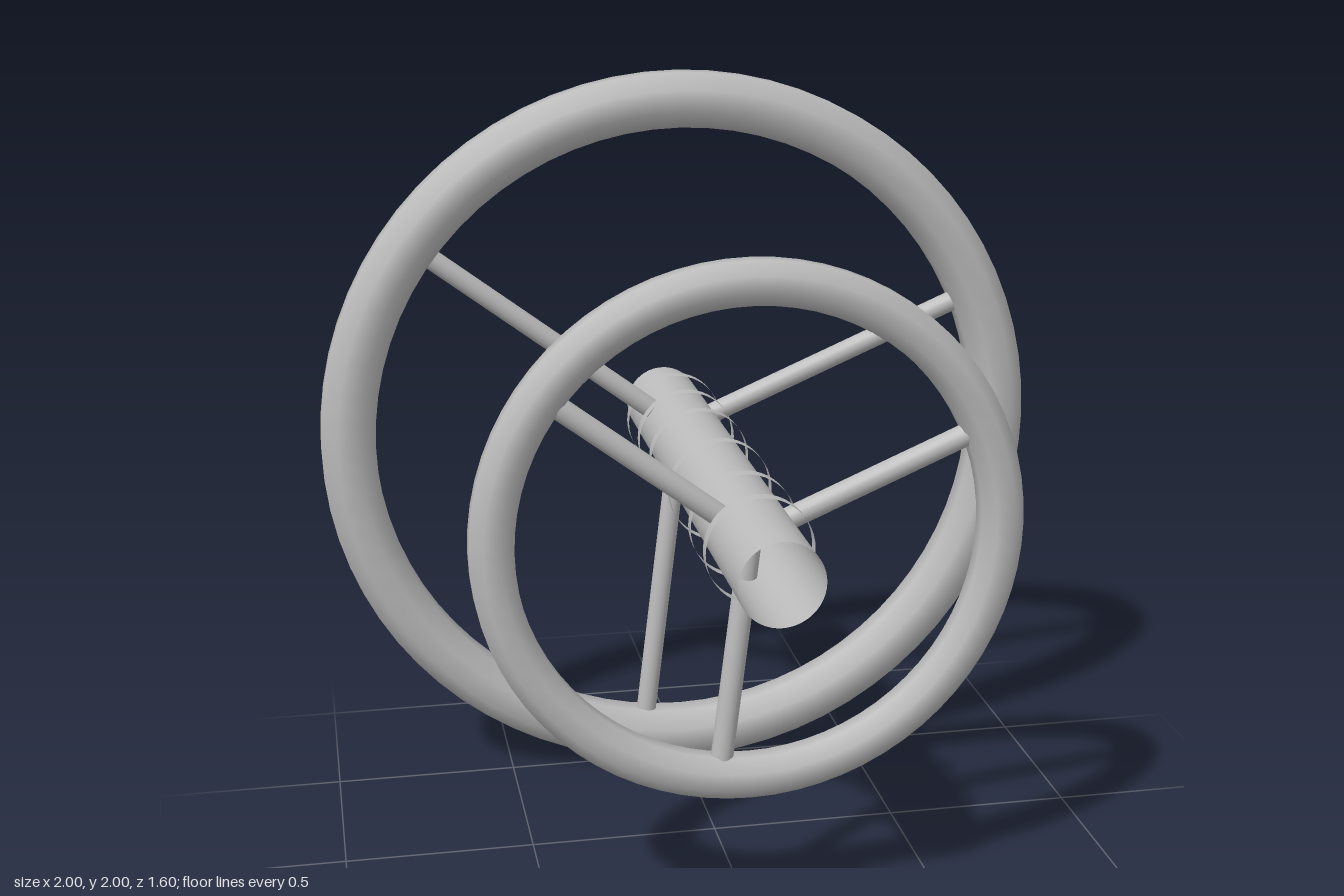
import * as THREE from 'three';

const metal = new THREE.MeshStandardMaterial({ color: 0xbbbbbb, side: THREE.DoubleSide });
metal.name = 'grey metal';

function part(name, geometry) {
  const mesh = new THREE.Mesh(geometry, metal);
  mesh.name = name;
  return mesh;
}

// Torus whose octagonal section is turned so that its flats face outward
function rimGeometry(radius, halfWidth) {
  const sides = 8, steps = 72;
  const r = halfWidth / Math.cos(Math.PI / sides);
  const g = new THREE.TorusGeometry(radius, r, sides, steps);
  const pos = g.attributes.position, nor = g.attributes.normal;
  for (let j = 0; j <= sides; j++) {
    const v = ((j + 0.5) / sides) * Math.PI * 2;
    for (let i = 0; i <= steps; i++) {
      const u = (i / steps) * Math.PI * 2, k = j * (steps + 1) + i;
      const c = Math.cos(v), d = radius + r * c;
      pos.setXYZ(k, d * Math.cos(u), d * Math.sin(u), r * Math.sin(v));
      nor.setXYZ(k, c * Math.cos(u), c * Math.sin(u), Math.sin(v));
    }
  }
  return g;
}

// Open band around the z axis
function bandGeometry(radius, length) {
  return new THREE.CylinderGeometry(radius, radius, length, 48, 1, true).rotateX(Math.PI / 2);
}

// Rim with three spokes meeting on the axis
function makeWheel(name, radius, halfWidth, z) {
  const wheel = new THREE.Group();
  wheel.name = name;
  wheel.position.z = z;
  wheel.add(part('rim', rimGeometry(radius, halfWidth)));
  for (const degrees of [23, 143, 263]) {
    const spoke = part('spoke', new THREE.CylinderGeometry(0.028, 0.028, radius, 20).translate(0, radius / 2, 0));
    spoke.rotation.z = THREE.MathUtils.degToRad(degrees - 90);
    wheel.add(spoke);
  }
  return wheel;
}

export function createModel() {
  const model = new THREE.Group();
  model.name = 'wheelsOnHub';
  const assembly = new THREE.Group();
  assembly.name = 'hubAssembly';
  assembly.position.y = 1;
  model.add(assembly);

  // Open hub tube
  assembly.add(part('hubTube', bandGeometry(0.104, 1.6)));

  // Thin collars standing clear of the tube
  for (const z of [0.549, 0.357, 0.068, -0.223, -0.416, -0.604]) {
    const collar = part('collar', bandGeometry(0.133, 0.036));
    collar.position.z = z;
    assembly.add(collar);
  }

  // Small front wheel and large rear wheel
  assembly.add(makeWheel('frontWheel', 0.628, 0.054, 0.452));
  assembly.add(makeWheel('rearWheel', 0.926, 0.074, -0.51));
  return model;
}
